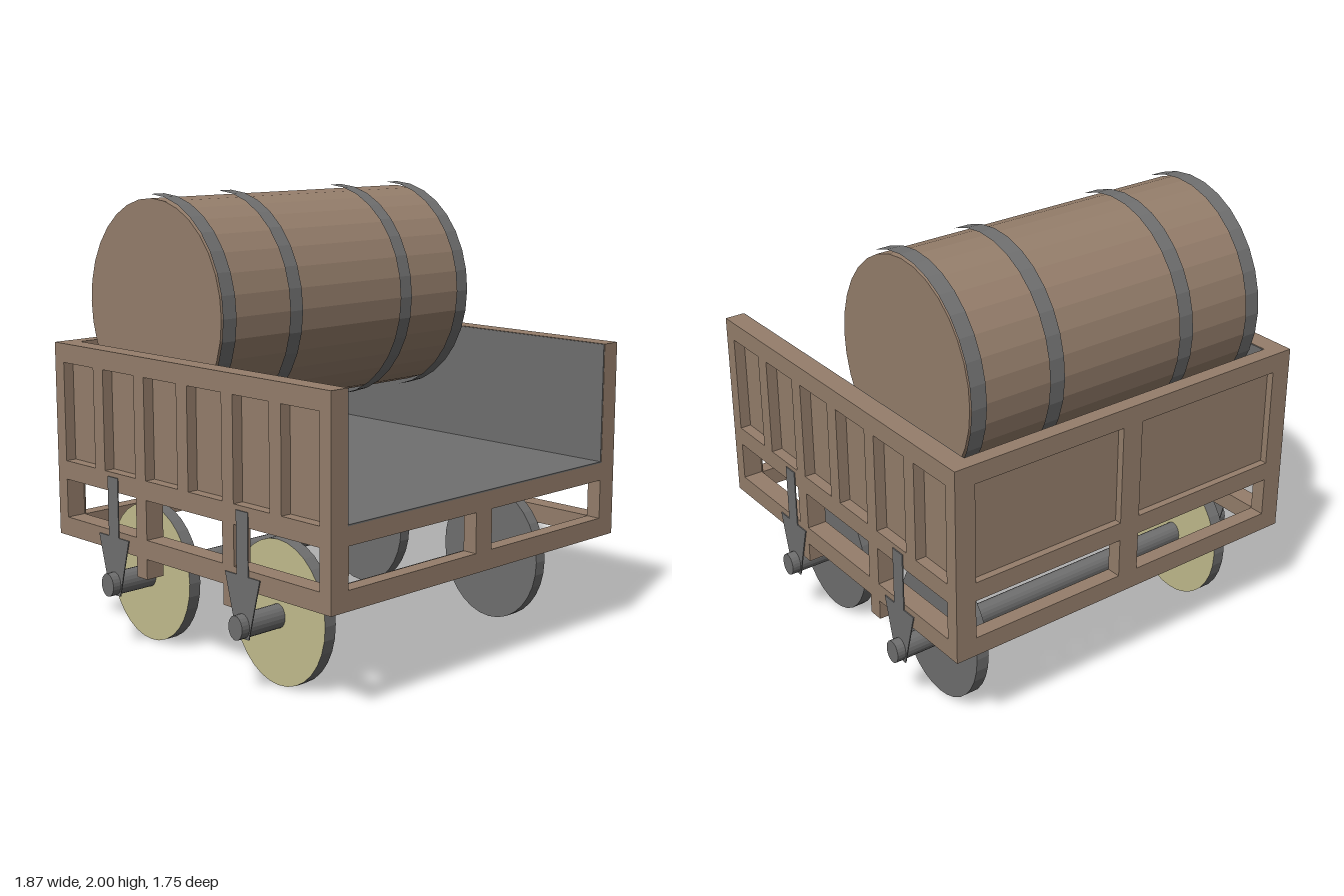
import * as THREE from 'three';

const wood = new THREE.MeshStandardMaterial({ name: 'wood', color: 0x957e6b, flatShading: true });
const iron = new THREE.MeshStandardMaterial({ name: 'iron', color: 0x6f6f6f, flatShading: true });
const khaki = new THREE.MeshStandardMaterial({ name: 'khaki', color: 0xc2bc8d, flatShading: true });

// Cart measurements
const HALF_W = 0.89, INNER = 0.8, HALF_L = 0.877, BACK = -0.81;
const BOTTOM = 0.455, RAIL_LOW = 0.54, RAIL_MID = 0.715, FLOOR = 0.8, PANEL_TOP = 1.245, TOP = 1.33;

export function createModel() {
  const model = new THREE.Group();
  model.name = 'barrelCart';

  const add = (name, geometry, material, parent = model) => {
    const mesh = new THREE.Mesh(geometry, material);
    mesh.name = name;
    parent.add(mesh);
    return mesh;
  };

  // Box given by its limits on each axis
  const box = (name, [x0, x1], [y0, y1], [z0, z1], material, parent) =>
    add(name, new THREE.BoxGeometry(x1 - x0, y1 - y0, z1 - z0), material, parent)
      .position.set((x0 + x1) / 2, (y0 + y1) / 2, (z0 + z1) / 2);

  // Rectangular board with rectangular openings [u0, u1, v0, v1]
  const frame = (u, v0, v1, holes, depth) => {
    const corners = (a, b, c, d) => [[a, c], [b, c], [b, d], [a, d]].map(p => new THREE.Vector2(...p));
    const shape = new THREE.Shape(corners(-u, u, v0, v1));
    for (const h of holes) shape.holes.push(new THREE.Path(corners(...h).reverse()));
    return new THREE.ExtrudeGeometry(shape, { depth, bevelEnabled: false });
  };

  // Cylinder along x with an elliptical section
  const drum = (length, ry, rz, sides, open = false) =>
    new THREE.CylinderGeometry(1, 1, length, sides, 1, open).rotateZ(Math.PI / 2).scale(1, ry, rz);

  // Side walls: six recessed panels over three open bays
  const sideHoles = [
    [-0.815, -0.317, RAIL_LOW, RAIL_MID],
    [-0.247, 0.247, RAIL_LOW, RAIL_MID],
    [0.317, 0.815, RAIL_LOW, RAIL_MID],
  ];
  for (let i = 0; i < 6; i++) {
    const c = (i - 2.5) * 0.283;
    sideHoles.push([c - 0.107, c + 0.107, FLOOR, PANEL_TOP]);
  }
  for (const s of [1, -1]) {
    const wall = new THREE.Group();
    wall.name = s > 0 ? 'leftWall' : 'rightWall';
    model.add(wall);
    const range = (a, b) => (s > 0 ? [a, b] : [-b, -a]);
    const geometry = frame(HALF_L, BOTTOM, TOP, sideHoles, HALF_W - INNER).rotateY(Math.PI / 2);
    add('sideFrame', geometry, wood, wall).position.x = s > 0 ? INNER : -HALF_W;
    box('sidePanel', range(INNER, 0.84), [0.78, 1.27], [-0.84, 0.84], wood, wall);
    box('sideLining', range(INNER - 0.005, INNER), [FLOOR, TOP - 0.002], [BACK, HALF_L - 0.002], iron, wall);
    for (const z of [0.284, -0.284])
      box('frameFoot', range(INNER, HALF_W), [0.365, BOTTOM], [z - 0.034, z + 0.034], wood, wall);
  }

  // Back wall and front sill
  const pair = (y0, y1) => [[-0.795, -0.05, y0, y1], [0.05, 0.795, y0, y1]];
  const depth = HALF_L + BACK;
  const lowerBays = pair(RAIL_LOW, RAIL_MID);
  add('backFrame', frame(INNER, BOTTOM, TOP, [...lowerBays, ...pair(FLOOR, PANEL_TOP)], depth), wood)
    .position.z = -HALF_L;
  box('backPanel', [-INNER, INNER], [0.78, 1.27], [-0.845, BACK], wood);
  box('backLining', [-INNER, INNER], [FLOOR, PANEL_TOP], [BACK, BACK + 0.005], iron);
  add('frontFrame', frame(INNER, BOTTOM, FLOOR - 0.006, lowerBays, depth), wood).position.z = -BACK;
  box('floor', [-INNER, INNER], [FLOOR - 0.006, FLOOR], [BACK, HALF_L], iron);

  // Wheel sets: axle, two discs and two hanger plates each
  const hanger = new THREE.Shape([
    [-0.036, 0.25], [0.036, 0.25], [0.105, 0.513], [0.035, 0.513],
    [0.035, 0.78], [-0.035, 0.78], [-0.035, 0.513], [-0.105, 0.513],
  ].map(p => new THREE.Vector2(...p)));
  for (const z of [0.372, -0.473]) {
    const set = new THREE.Group();
    set.name = z > 0 ? 'frontWheelSet' : 'rearWheelSet';
    set.position.z = z;
    model.add(set);
    add('axle', drum(1.87, 0.052, 0.042, 20), iron, set).position.y = 0.303;
    for (const s of [1, -1]) {
      const face = s > 0 ? iron : khaki;
      add('wheel', drum(0.06, 0.313, 0.277, 32), [iron, face, face], set).position.set(s * 0.67, 0.316, 0);
      const plate = new THREE.ExtrudeGeometry(hanger, { depth: 0.005, bevelEnabled: false }).rotateY(Math.PI / 2);
      add('axleHanger', plate, iron, set).position.x = s > 0 ? HALF_W : -HALF_W - 0.005;
    }
  }

  // Barrel lying across the cart, with four open hoops
  const barrel = new THREE.Group();
  barrel.name = 'barrel';
  barrel.position.set(0, 1.51, -0.345);
  model.add(barrel);
  add('barrelBody', drum(1.5, 0.472, 0.44, 32), wood, barrel);
  for (const x of [-0.717, -0.342, 0.337, 0.717])
    add('barrelHoop', drum(0.073, 0.49, 0.456, 32, true), iron, barrel).position.x = x;

  return model;
}
